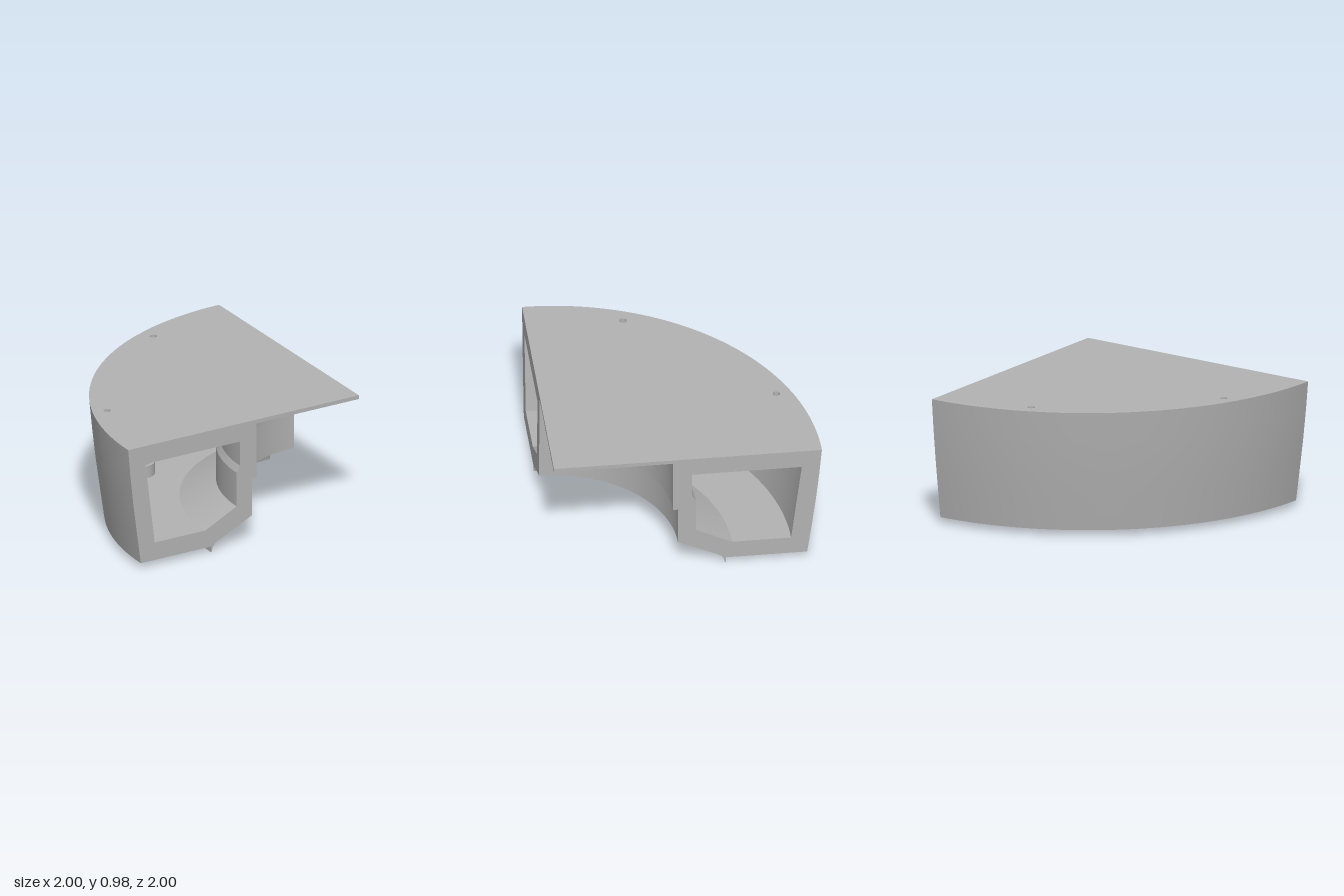
import * as THREE from 'three';
import { toCreasedNormals } from 'three/addons/utils/BufferGeometryUtils.js';

const SEG = 64;
const DIAG = Math.PI / 4;

// Cross-section as [radius from corner axis, height]
const outerWall = [[1.89, 0.045], [1.925, 0.3], [1.955, 0.53], [1.98, 0.76], [2, 0.98]];
const innerWall = [[0, 0.95], [0.89, 0.95], [0.89, 0.52], [0.925, 0.52], [0.925, 0.22],
  [1.225, 0.078], [1.252, 0.06], [1.268, 0.035], [1.275, 0], [1.283, 0], [1.283, 0.045]];
const cavity = [[1.33, 0.185], [1.06, 0.32], [1.06, 0.59], [1.03, 0.64], [1.03, 0.835],
  [1.85, 0.835], [1.77, 0.185]];

const vectors = (pts) => pts.map(([r, y]) => new THREE.Vector2(r, y));

// Quarter revolve of a profile around the corner axis
const sweep = (pts) =>
  toCreasedNormals(new THREE.LatheGeometry(vectors(pts), SEG, Math.PI, Math.PI / 2), 0.5);

// Full small revolve, used for holes and the boss
const turned = (pts) => toCreasedNormals(new THREE.LatheGeometry(vectors(pts), 32), 0.5);

// Flat quarter ring with round holes, each [radius from axis, angle, hole radius]
function plate(inner, outer, y, up, holes) {
  const start = up ? Math.PI / 2 : Math.PI;
  const shape = new THREE.Shape();
  shape.absarc(0, 0, outer, start, start + Math.PI / 2, false);
  if (inner > 0) shape.absarc(0, 0, inner, start + Math.PI / 2, start, true);
  else shape.lineTo(0, 0);
  for (const [r, angle, size] of holes) {
    const hole = new THREE.Path();
    hole.absarc(r * Math.cos(start + angle), r * Math.sin(start + angle), size, 0, Math.PI * 2, true);
    shape.holes.push(hole);
  }
  const geometry = new THREE.ShapeGeometry(shape, SEG);
  geometry.rotateX(up ? -Math.PI / 2 : Math.PI / 2);
  geometry.translate(0, y, 0);
  return geometry;
}

// Cut face showing the cross-section with the open cavity
function cutFace(sign) {
  const place = (pts) => vectors(pts.map(([r, y]) => [sign * r, y]));
  const shape = new THREE.Shape(place([...outerWall, [0, 0.98], ...innerWall]));
  shape.holes.push(new THREE.Path(place(cavity)));
  return new THREE.ShapeGeometry(shape);
}

export function createModel() {
  const model = new THREE.Group();
  model.name = 'quarterRing';
  const grey = new THREE.MeshStandardMaterial({ color: 0xb2b2b2 });
  grey.name = 'plain grey';

  const add = (name, geometry, x = 0, z = 0) => {
    const mesh = new THREE.Mesh(geometry, grey);
    mesh.name = name;
    mesh.position.set(1 + x, 0, 1 + z);
    model.add(mesh);
    return mesh;
  };

  // Shell
  const pinAngles = [DIAG / 2, DIAG * 1.5];
  add('outerWall', sweep(outerWall));
  add('innerWallAndLip', sweep(innerWall));
  add('topPlate', plate(0, 2, 0.98, true, pinAngles.map((a) => [1.89, a, 0.027])));
  add('bottomPlate', plate(1.283, 1.89, 0.045, false, [[1.67, DIAG, 0.08]]));

  // Hollow channel
  add('cavityWalls', sweep(cavity));
  add('cavityFloor', plate(1.33, 1.77, 0.185, true, [[1.67, DIAG, 0.08]]));

  // Cut faces
  add('frontCutFace', cutFace(-1));
  add('sideCutFace', cutFace(1).rotateY(Math.PI / 2));

  // Blind pin holes in the top
  for (const a of pinAngles) {
    add('pinHole', turned([[0.027, 0.98], [0.027, 0.86], [0, 0.86]]),
      -1.89 * Math.cos(a), -1.89 * Math.sin(a));
  }

  // Screw boss with a through hole
  const d = -1.67 * Math.SQRT1_2;
  add('screwBoss', turned([[0.11, 0.185], [0.11, 0.28], [0.08, 0.28], [0.08, 0.045]]), d, d);

  // Pair of leaning ribs behind the boss
  const ribShape = new THREE.Shape(vectors(
    [[-1.87, 0.835], [-1.79, 0.185], [-1.67, 0.185], [-1.75, 0.835]]));
  for (const offset of [0.08, -0.115]) {
    const rib = new THREE.ExtrudeGeometry(ribShape, { depth: 0.035, bevelEnabled: false });
    rib.translate(0, 0, offset);
    add('cavityRib', rib.rotateY(-DIAG));
  }
  return model;
}
